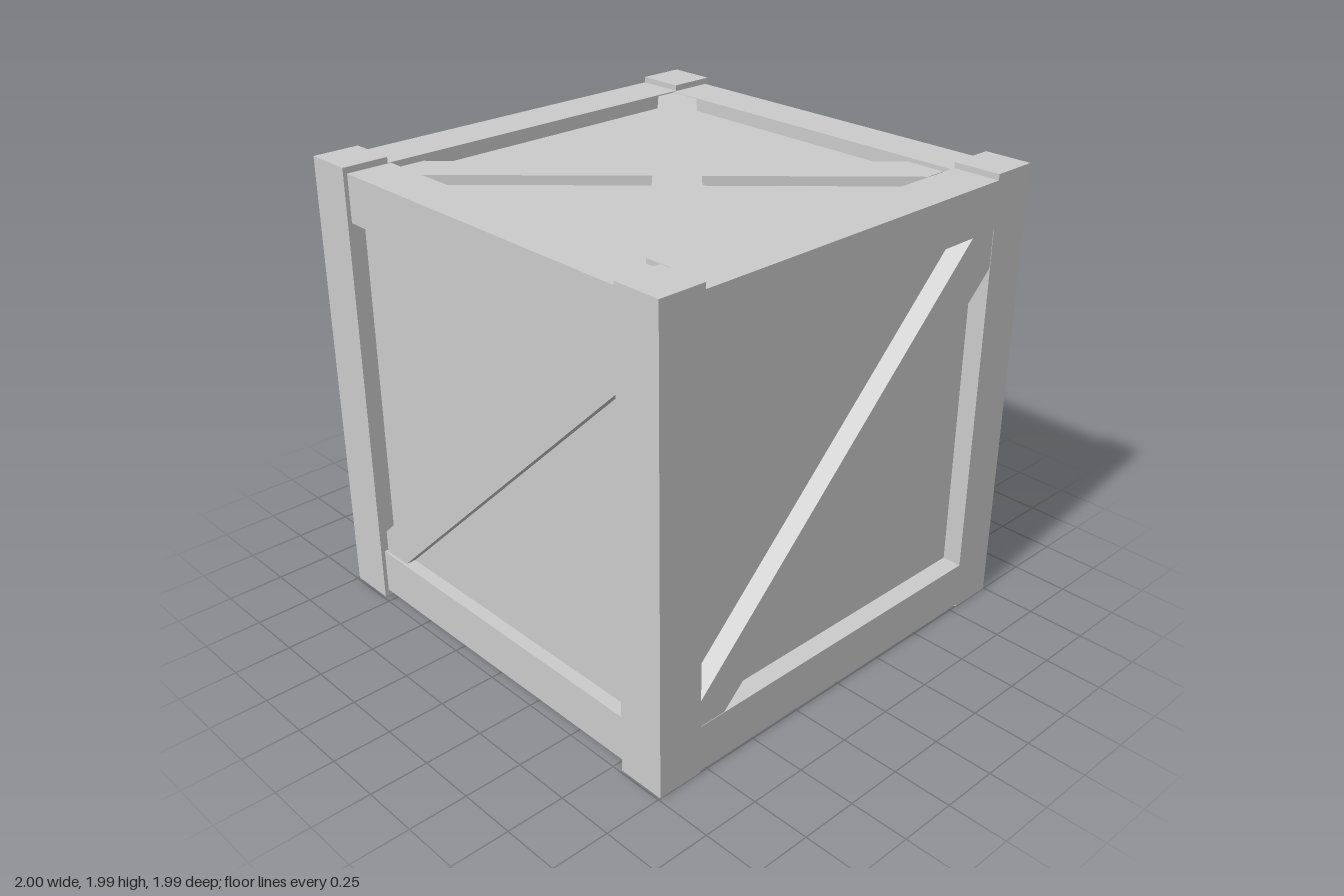
import * as THREE from 'three';

export function createModel() {
  const group = new THREE.Group();
  const material = new THREE.MeshStandardMaterial({ color: 0xcccccc, flatShading: true });

  const add = (name, geometry) => {
    const mesh = new THREE.Mesh(geometry, material);
    mesh.name = name;
    group.add(mesh);
    return mesh;
  };

  // Box given by its lower and upper corners
  const box = (name, [x0, y0, z0], [x1, y1, z1]) =>
    add(name, new THREE.BoxGeometry(x1 - x0, y1 - y0, z1 - z0))
      .position.set((x0 + x1) / 2, (y0 + y1) / 2, (z0 + z1) / 2);

  // Flat diagonal plank: outline in its own plane, from depth d0 to d1
  const plank = (name, outline, d0, d1) => {
    const shape = new THREE.Shape(outline.map(([u, v]) => new THREE.Vector2(u, v)));
    const geometry = new THREE.ExtrudeGeometry(shape, { depth: d1 - d0, bevelEnabled: false });
    return add(name, geometry.translate(0, 0, d0));
  };

  // Recessed panels on all six sides
  box('panels', [-0.915, 0.08, -0.915], [0.915, 1.9, 0.915]);

  // Corner posts
  for (const [x0, x1] of [[-1, -0.79], [0.79, 1]])
    for (const [z0, z1] of [[-0.995, -0.79], [0.785, 0.99]])
      box('cornerPost', [x0, 0, z0], [x1, 1.985, z1]);

  // Rails across the front and back
  for (const [y0, y1] of [[0.03, 0.23], [1.755, 1.958]]) {
    box('frontRail', [-0.79, y0, 0.77], [0.79, y1, 0.972]);
    box('backRail', [-0.79, y0, -0.98], [0.79, y1, -0.775]);
  }

  // Rails along the two sides, flush with the posts
  for (const [y0, y1] of [[0.01, 0.215], [1.76, 1.96]])
    for (const [x0, x1] of [[-1, -0.79], [0.79, 1]])
      box('sideRail', [x0, y0, -0.79], [x1, y1, 0.785]);

  // Front and back braces
  const face = [[-0.78, 0.23], [-0.64, 0.23], [0.79, 1.59], [0.79, 1.755], [0.67, 1.755], [-0.78, 0.33]];
  plank('frontBrace', face, 0.9, 0.96);
  plank('backBrace', face, -0.968, -0.9);

  // Side braces
  const side = [[-0.785, 0.215], [-0.66, 0.215], [0.79, 1.6], [0.79, 1.76], [0.66, 1.76], [-0.785, 0.33]];
  plank('rightSideBrace', side, -0.998, -0.9).rotation.y = Math.PI / 2;
  plank('leftSideBrace', side, 0.9, 0.998).rotation.y = Math.PI / 2;

  // Crossed lid braces, one slightly above the other
  const upper = [[-0.79, 0.775], [-0.79, 0.68], [0.66, -0.73], [0.79, -0.73], [0.79, -0.57], [-0.64, 0.775]];
  const lower = [[0.75, 0.775], [0.57, 0.775], [-0.77, -0.63], [-0.77, -0.765], [-0.65, -0.765], [0.75, 0.68]];
  plank('upperLidBrace', upper, 1.89, 1.955).rotation.x = -Math.PI / 2;
  plank('lowerLidBrace', lower, 1.89, 1.94).rotation.x = -Math.PI / 2;

  return group;
}
